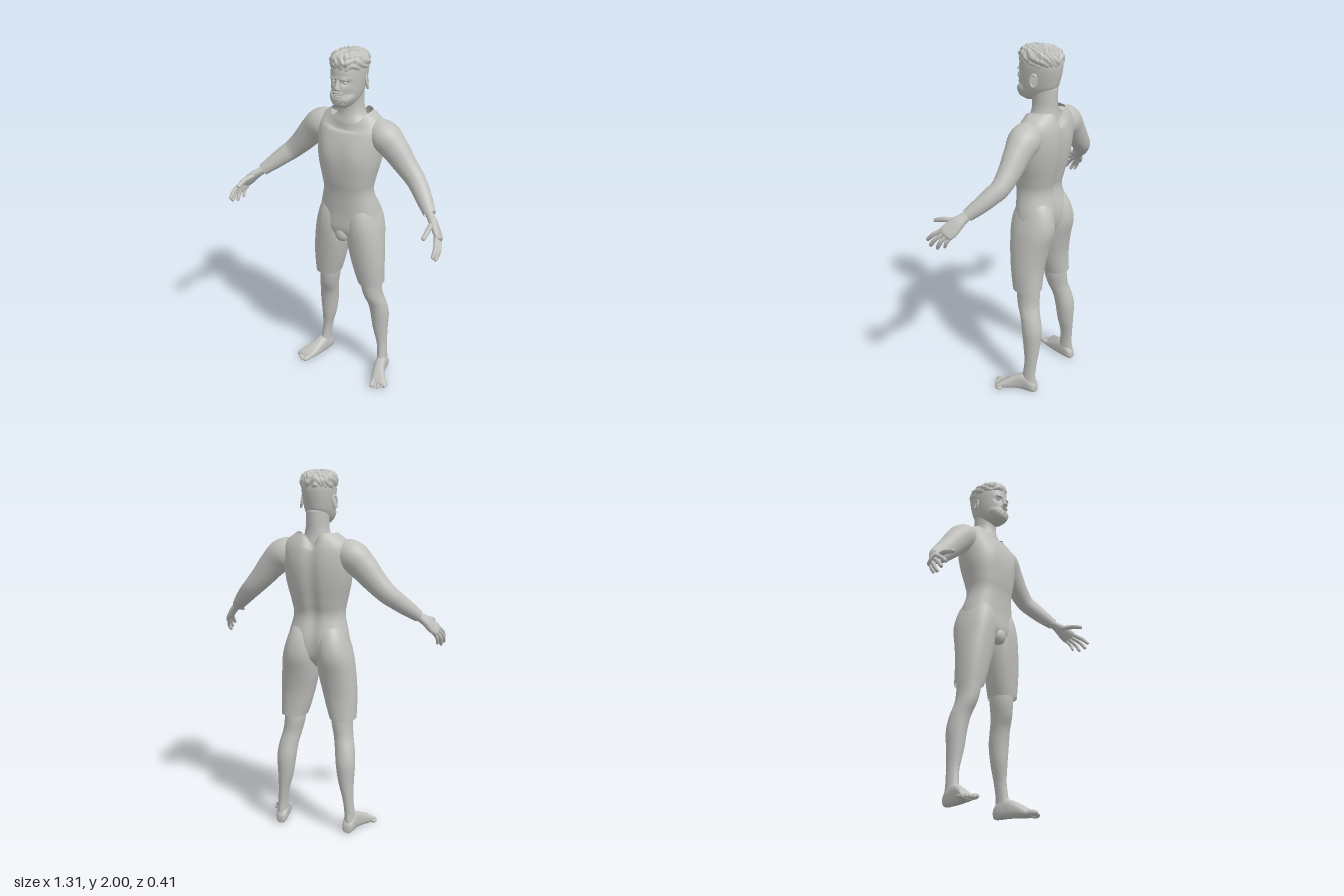
import * as THREE from 'three';

const clay = new THREE.MeshStandardMaterial({ color: 0xc0c0bd, side: THREE.DoubleSide });
clay.name = 'warm grey';

const V = (x, y, z) => new THREE.Vector3(x, y, z);

// Smooth loft through rows [x, y, z, a, b]: a is the radius along ref, b the radius across it.
function loft(name, rows, { axis, ref = V(1, 0, 0), n = 2, seg = 32, steps = 5, caps = [true, true], rule } = {}) {
  const centre = new THREE.CatmullRomCurve3(rows.map(r => V(r[0], r[1], r[2])), false, 'catmullrom');
  const radii = new THREE.CatmullRomCurve3(rows.map(r => V(r[3], r[4], 0)), false, 'catmullrom');
  const rings = (rows.length - 1) * steps, pos = [], idx = [];
  const pow = c => Math.sign(c) * Math.abs(c) ** (2 / n);
  for (let k = 0; k <= rings; k++) {
    const c = centre.getPoint(k / rings), r = radii.getPoint(k / rings);
    const t = axis || centre.getTangent(k / rings);
    const u = ref.clone().addScaledVector(t, -ref.dot(t)).normalize();
    const v = t.clone().cross(u);
    for (let i = 0; i < seg; i++) {
      const q = i / seg * Math.PI * 2;
      const p = c.clone().addScaledVector(u, Math.max(r.x, 0.001) * pow(Math.cos(q)))
        .addScaledVector(v, Math.max(r.y, 0.001) * pow(Math.sin(q)));
      if (rule) rule(p, q, c);
      pos.push(p.x, p.y, p.z);
      if (k < rings) {
        const a = k * seg + i, b = k * seg + (i + 1) % seg;
        idx.push(a, b, b + seg, a, b + seg, a + seg);
      }
    }
  }
  // Close the ends
  [0, rings].forEach((k, e) => {
    if (!caps[e]) return;
    const c = V(0, 0, 0), m = pos.length / 3;
    for (let i = 0; i < seg; i++) c.add(V(...pos.slice((k * seg + i) * 3, (k * seg + i) * 3 + 3)));
    c.divideScalar(seg);
    pos.push(c.x, c.y, c.z);
    for (let i = 0; i < seg; i++) {
      const a = k * seg + i, b = k * seg + (i + 1) % seg;
      if (e) idx.push(a, b, m); else idx.push(b, a, m);
    }
  });
  const g = new THREE.BufferGeometry();
  g.setAttribute('position', new THREE.Float32BufferAttribute(pos, 3));
  g.setIndex(idx);
  g.computeVertexNormals();
  const mesh = new THREE.Mesh(g, clay);
  mesh.name = name;
  return mesh;
}

// Loft of level sections [y, x, rx, zFront, zBack]
const level = (name, rows, o = {}) =>
  loft(name, rows.map(([y, x, rx, f, b]) => [x, y, (f + b) / 2, rx, (f - b) / 2]), { axis: V(0, 1, 0), ...o });

// Finger or toe: tapered rod with a rounded tip
function digit(name, a, b, c, r) {
  const A = V(...a), B = V(...b), C = V(...c), d = C.clone().sub(B).normalize();
  const row = (p, s) => [p.x, p.y, p.z, r * s, r * s];
  return loft(name, [row(A, 1), row(B, 1), row(C.clone().addScaledVector(d, -r), 0.85),
    row(C.clone().addScaledVector(d, -r * 0.3), 0.6), row(C, 0.1)], { ref: V(0, 0.3, 1), seg: 12, steps: 4 });
}

function blob(name, x, y, z, rx, ry, rz) {
  const m = new THREE.Mesh(new THREE.SphereGeometry(1, 20, 14), clay);
  m.name = name;
  m.position.set(x, y, z);
  m.scale.set(rx, ry, rz);
  return m;
}

function makeArm() {
  const g = new THREE.Group();
  g.add(loft('sleeve', [
    [0.11, 1.565, -0.09, 0.06, 0.07], [0.19, 1.552, -0.09, 0.085, 0.085], [0.255, 1.497, -0.09, 0.07, 0.077],
    [0.32, 1.425, -0.088, 0.058, 0.065], [0.385, 1.36, -0.08, 0.05, 0.055], [0.43, 1.322, -0.055, 0.047, 0.05],
    [0.48, 1.278, -0.018, 0.042, 0.043], [0.532, 1.232, 0.025, 0.032, 0.033],
  ], { ref: V(0, 0, 1), caps: [true, false] }));
  // Palm is wide from index side to little finger side
  g.add(loft('palm', [
    [0.505, 1.255, 0.005, 0.024, 0.02], [0.54, 1.225, 0.032, 0.026, 0.02], [0.572, 1.2, 0.055, 0.036, 0.021],
    [0.6, 1.17, 0.075, 0.043, 0.019], [0.622, 1.15, 0.094, 0.041, 0.015], [0.628, 1.142, 0.1, 0.03, 0.008],
  ], { ref: V(0.005, 0.035, 0.06), n: 2.4, seg: 24 }));
  g.add(digit('thumb', [0.565, 1.205, 0.065], [0.578, 1.2, 0.135], [0.583, 1.178, 0.203], 0.0135));
  [[[0.615, 1.165, 0.115], [0.638, 1.13, 0.165], [0.642, 1.088, 0.206]],
    [[0.618, 1.152, 0.102], [0.643, 1.112, 0.146], [0.648, 1.064, 0.182]],
    [[0.616, 1.142, 0.086], [0.639, 1.1, 0.118], [0.638, 1.054, 0.144]],
    [[0.61, 1.135, 0.068], [0.627, 1.102, 0.088], [0.624, 1.066, 0.105]],
  ].forEach(([a, b, c], i) => g.add(digit('finger', a, b, c, i === 3 ? 0.0095 : 0.0115)));
  return g;
}

function makeLeg() {
  const g = new THREE.Group();
  // Shorts half, flattened where it meets its twin
  g.add(level('shortsLeg', [
    [0.65, 0.143, 0.073, 0.012, -0.152], [0.72, 0.133, 0.085, 0.023, -0.152], [0.8, 0.122, 0.095, 0.034, -0.157],
    [0.9, 0.108, 0.102, 0.045, -0.176], [1.0, 0.098, 0.099, 0.051, -0.2], [1.08, 0.09, 0.086, 0.044, -0.194],
    [1.15, 0.08, 0.07, 0.02, -0.165], [1.2, 0.075, 0.045, -0.01, -0.12],
  ], { n: 2.2, seg: 40, caps: [false, true], rule: p => { p.x = Math.max(p.x, 0); } }));
  g.add(level('lowerLeg', [
    [0.02, 0.205, 0.024, -0.085, -0.16], [0.06, 0.204, 0.029, -0.072, -0.165], [0.12, 0.201, 0.028, -0.083, -0.16],
    [0.2, 0.193, 0.03, -0.088, -0.166], [0.3, 0.181, 0.044, -0.076, -0.175], [0.4, 0.176, 0.054, -0.065, -0.18],
    [0.48, 0.167, 0.055, -0.05, -0.165], [0.55, 0.152, 0.054, -0.02, -0.148], [0.62, 0.141, 0.058, -0.006, -0.145],
    [0.7, 0.14, 0.062, 0.0, -0.142],
  ]));
  // Foot turns out towards the toes and has a flat sole
  g.add(loft('foot', [
    [0.2, 0.026, -0.172, 0.014, 0.02], [0.201, 0.034, -0.16, 0.028, 0.034], [0.204, 0.048, -0.13, 0.034, 0.05],
    [0.21, 0.052, -0.09, 0.034, 0.054], [0.223, 0.043, -0.045, 0.038, 0.045], [0.245, 0.029, 0.0, 0.047, 0.031],
    [0.264, 0.018, 0.032, 0.051, 0.02], [0.27, 0.013, 0.047, 0.044, 0.012],
  ], { axis: V(0, 0, 1), n: 2.5, rule: p => { p.y = Math.max(p.y, 0); } }));
  for (let i = 0; i < 5; i++) {
    const x = 0.232 + i * 0.0175, z = 0.088 - 0.002 * i - 0.0022 * i * i, r = i ? 0.0105 : 0.0155;
    g.add(digit('toe', [x - 0.004, r + 0.004, 0.02], [x + 0.003, r + 0.002, z - 0.03], [x + 0.01, r, z], r));
  }
  return g;
}

function makeHead() {
  const g = new THREE.Group();
  g.name = 'head';
  g.add(level('neck', [
    [1.56, 0, 0.15, 0.0, -0.17], [1.61, 0, 0.12, -0.002, -0.165], [1.65, 0, 0.078, -0.012, -0.157],
    [1.69, 0, 0.064, -0.017, -0.154], [1.73, 0, 0.061, -0.012, -0.155], [1.79, 0, 0.062, 0.0, -0.155],
  ]));
  g.add(level('skull', [
    [1.708, 0, 0.022, 0.035, -0.02], [1.724, 0, 0.047, 0.056, -0.06], [1.75, 0, 0.064, 0.066, -0.115],
    [1.785, 0, 0.075, 0.068, -0.152], [1.83, 0, 0.082, 0.064, -0.167], [1.87, 0, 0.086, 0.061, -0.176],
    [1.905, 0, 0.087, 0.058, -0.179], [1.945, 0, 0.082, 0.045, -0.172], [1.97, 0, 0.06, 0.02, -0.14],
    [1.98, 0, 0.03, -0.02, -0.09],
  ], { n: 2.15, seg: 64, steps: 8, rule: p => {
    // Eye sockets and cheek hollows
    if (p.z < 0) return;
    const dip = (x, y, w, h) => Math.exp(-(((Math.abs(p.x) - x) / w) ** 2) - ((p.y - y) / h) ** 2);
    p.z += -0.013 * dip(0.034, 1.849, 0.02, 0.013) + 0.005 * dip(0.03, 1.872, 0.03, 0.008) - 0.005 * dip(0.05, 1.79, 0.018, 0.02);
  } }));
  // Wavy short hair, combed round the crown
  g.add(level('hair', [
    [1.9, 0, 0.083, 0.048, -0.174], [1.917, 0, 0.091, 0.055, -0.182], [1.945, 0, 0.094, 0.06, -0.182],
    [1.97, 0, 0.083, 0.05, -0.167], [1.987, 0, 0.06, 0.024, -0.135], [1.994, 0, 0.025, -0.02, -0.085],
  ], { n: 2.1, seg: 112, steps: 10, rule: (p, q, c) => {
    const wave = Math.sin(150 * p.x + 9 * Math.sin(45 * p.z)) + Math.sin(170 * p.y + 11 * q + 5 * Math.sin(60 * p.x));
    const out = V(p.x, (p.y - 1.91) * 1.2, p.z - c.z).normalize();
    p.addScaledVector(out, 0.0028 * wave);
  } }));
  g.add(level('beard', [
    [1.712, 0, 0.025, 0.045, 0.0], [1.728, 0, 0.046, 0.065, -0.03], [1.752, 0, 0.062, 0.073, -0.045],
    [1.772, 0, 0.068, 0.071, -0.05], [1.79, 0, 0.066, 0.062, -0.05],
  ], { n: 2.15, seg: 72, steps: 8, rule: (p, q) => {
    p.z += 0.0015 * Math.sin(200 * p.y + 8 * Math.sin(14 * q));
  } }));
  g.add(blob('moustache', 0, 1.799, 0.063, 0.03, 0.006, 0.011));
  g.add(blob('upperLip', 0, 1.788, 0.066, 0.021, 0.004, 0.008), blob('lowerLip', 0, 1.779, 0.066, 0.019, 0.005, 0.009));
  g.add(loft('nose', [
    [0, 1.807, 0.06, 0.012, 0.006], [0, 1.813, 0.067, 0.018, 0.013], [0, 1.823, 0.07, 0.015, 0.016],
    [0, 1.842, 0.064, 0.01, 0.014], [0, 1.862, 0.058, 0.009, 0.01], [0, 1.878, 0.054, 0.009, 0.005],
  ], { axis: V(0, 1, 0), seg: 20 }));
  for (const s of [1, -1]) {
    g.add(blob('eye', s * 0.033, 1.849, 0.043, 0.013, 0.008, 0.01));
    const brow = blob('eyebrow', s * 0.035, 1.868, 0.056, 0.021, 0.0045, 0.007);
    brow.rotation.y = s * 0.3;
    const ear = new THREE.Group();
    ear.name = 'ear';
    const rim = new THREE.Mesh(new THREE.TorusGeometry(0.02, 0.006, 8, 20), clay);
    rim.name = 'earRim';
    rim.scale.set(0.85, 1.5, 1);
    ear.add(rim, blob('earBowl', 0, 0, -0.004, 0.019, 0.03, 0.006));
    ear.position.set(s * 0.093, 1.833, -0.075);
    ear.rotation.set(-0.15, s * (Math.PI / 2 + 0.35), 0, 'YXZ');
    g.add(brow, ear);
  }
  return g;
}

export function createModel() {
  const model = new THREE.Group();
  model.name = 'standingMan';
  // Torso of the suit, with a spine groove and a neckline dipping at front and back
  model.add(level('torso', [
    [0.94, 0, 0.1, 0.025, -0.12], [1.0, 0, 0.175, 0.048, -0.17], [1.1, 0, 0.172, 0.047, -0.182],
    [1.22, 0, 0.144, 0.053, -0.157], [1.3, 0, 0.154, 0.066, -0.172], [1.4, 0, 0.177, 0.072, -0.196],
    [1.5, 0, 0.188, 0.058, -0.209], [1.58, 0, 0.188, 0.032, -0.205], [1.63, 0, 0.165, 0.017, -0.193],
    [1.672, 0, 0.112, 0.01, -0.178],
  ], { n: 2.3, seg: 64, caps: [true, false], rule: (p, q) => {
    const w = THREE.MathUtils.smoothstep(p.y, 1.56, 1.672), back = Math.sin(q);
    const chest = Math.exp(-(((p.y - 1.46) / 0.07) ** 2) - ((Math.abs(p.x) - 0.09) / 0.06) ** 2);
    if (back > 0) p.z += 0.014 * back * Math.exp(-((p.x / 0.03) ** 2));
    else p.z += 0.008 * chest * -back;
    p.y -= w * (back < 0 ? 0.075 * back * back : 0.06 * Math.exp(-((p.x / 0.03) ** 2)) * back);
  } }));
  model.add(blob('crotch', 0, 0.965, 0.015, 0.045, 0.05, 0.04));
  // Limbs, mirrored to both sides
  for (const s of [1, -1]) {
    const arm = makeArm(), leg = makeLeg();
    arm.name = s > 0 ? 'leftArm' : 'rightArm';
    leg.name = s > 0 ? 'leftLeg' : 'rightLeg';
    arm.scale.x = leg.scale.x = s;
    model.add(arm, leg);
  }
  model.add(makeHead());
  return model;
}
